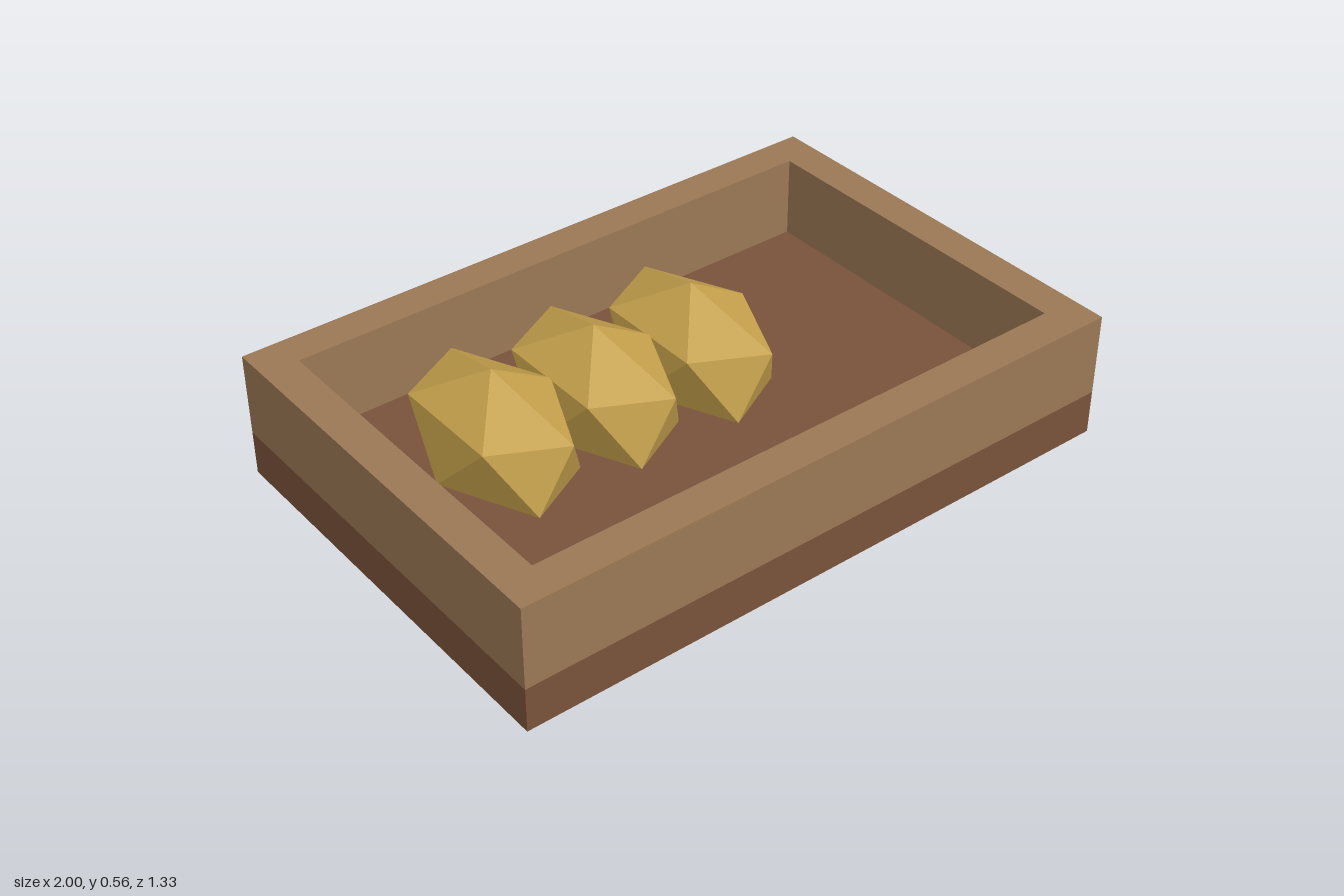
import * as THREE from 'three';
import { ConvexGeometry } from 'three/addons/geometries/ConvexGeometry.js';

const rim = new THREE.MeshStandardMaterial({ name: 'light wood', color: 0x9b7856 });
const wood = new THREE.MeshStandardMaterial({ name: 'dark wood', color: 0x79523b });
const gold = new THREE.MeshStandardMaterial({ name: 'golden', color: 0xc4a04b });

// Stretched 20-sided lump: two poles and two staggered rings of five
function lumpGeometry(rx, ry, rz) {
  const points = [new THREE.Vector3(0, ry, 0), new THREE.Vector3(0, -ry, 0)];
  const h = 1 / Math.sqrt(5), r = 2 * h;
  for (let i = 0; i < 5; i++) {
    const a = (i * Math.PI * 2) / 5;
    const x = Math.cos(a) * r * rx, z = Math.sin(a) * r * rz;
    points.push(new THREE.Vector3(x, h * ry, z), new THREE.Vector3(-x, -h * ry, z));
  }
  return new ConvexGeometry(points);
}

function rectangle(Type, hx, hz) {
  return new Type([[-hx, -hz], [hx, -hz], [hx, hz], [-hx, hz]].map(([x, y]) => new THREE.Vector2(x, y)));
}

export function createModel() {
  const model = new THREE.Group();
  model.name = 'tray';
  const add = (name, geometry, material, x = 0, y = 0, z = 0) => {
    const mesh = new THREE.Mesh(geometry, material);
    mesh.name = name;
    mesh.position.set(x, y, z);
    model.add(mesh);
  };

  // Solid floor slab
  const baseHeight = 0.14, height = 0.4;
  add('base', new THREE.BoxGeometry(2, baseHeight, 1.333), wood, 0, baseHeight / 2);

  // Four walls as one frame
  const outline = rectangle(THREE.Shape, 1, 0.6665);
  outline.holes.push(rectangle(THREE.Path, 0.887, 0.553));
  const frame = new THREE.ExtrudeGeometry(outline, { depth: height - baseHeight, bevelEnabled: false });
  frame.rotateX(-Math.PI / 2);
  add('walls', frame, rim, 0, baseHeight);

  // Three lumps in a row
  const lump = lumpGeometry(0.21, 0.2, 0.333);
  for (let i = 0; i < 3; i++) add('lump' + (i + 1), lump, gold, -0.62 + i * 0.333, 0.36);

  return model;
}
